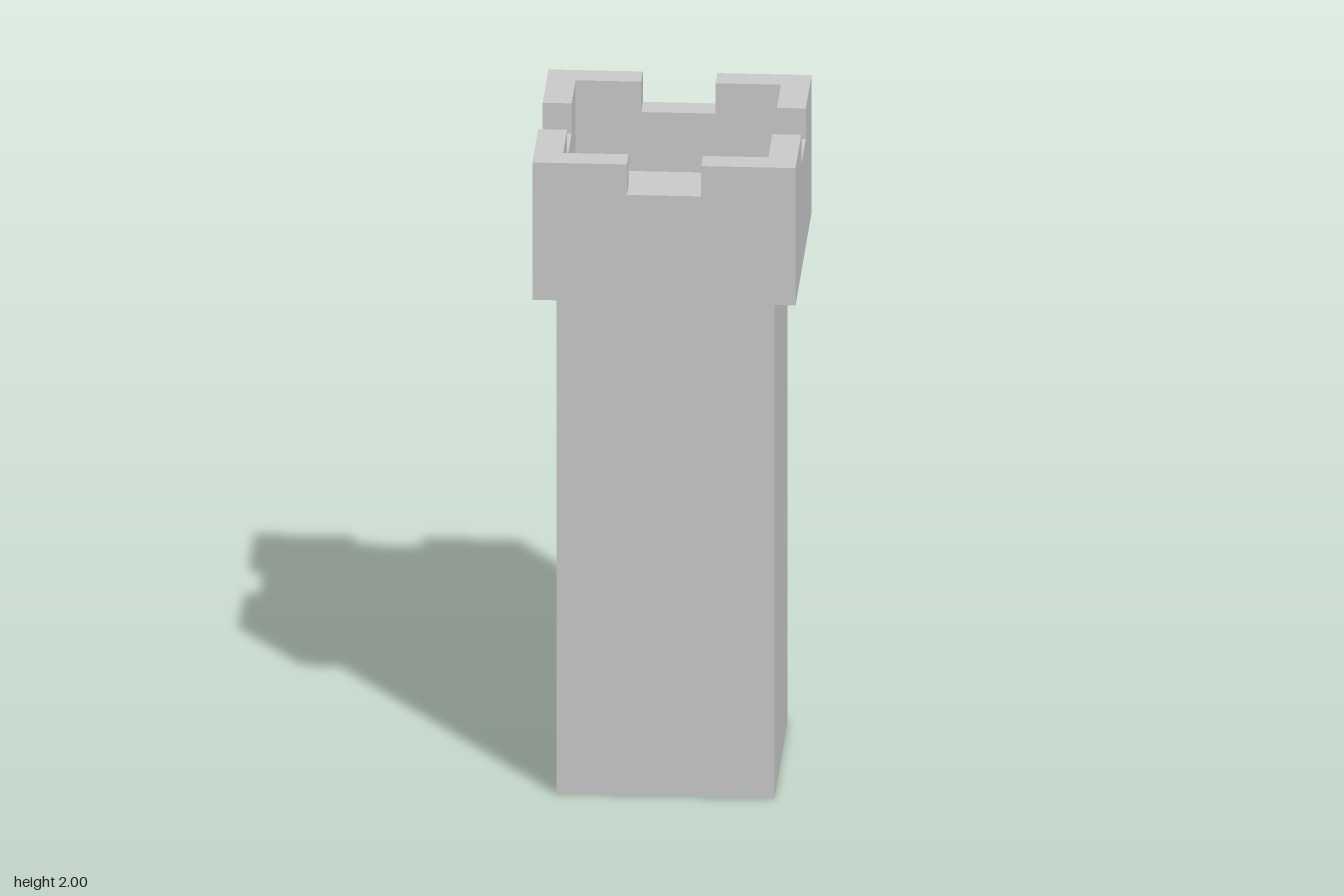
import * as THREE from 'three';
import { mergeGeometries } from 'three/addons/utils/BufferGeometryUtils.js';

const SHAFT = 0.32;                       // half widths
const OUTER = 0.386, INNER = 0.301, NOTCH = 0.109;
const HEAD_Y = 1.57, FLOOR_Y = 1.72, SILL_Y = 1.905, TOP_Y = 2;
const THICK = OUTER - INNER, MID = (OUTER + INNER) / 2;

const shapeOf = (pts) => new THREE.Shape(pts.map(([x, y]) => new THREE.Vector2(x, y)));
const squarePoints = (h) => [[-h, -h], [h, -h], [h, h], [-h, h]];

// Wall face with a notch in the middle of its top edge
function notchedFace(half, bottom) {
  return new THREE.ShapeGeometry(shapeOf([
    [-half, bottom], [half, bottom], [half, TOP_Y], [NOTCH, TOP_Y],
    [NOTCH, SILL_Y], [-NOTCH, SILL_Y], [-NOTCH, TOP_Y], [-half, TOP_Y],
  ]));
}

// One side of the parapet (facing +z) with the corner merlon top at its +x end
function parapetSide() {
  const parts = [
    notchedFace(OUTER, HEAD_Y).translate(0, 0, OUTER),
    notchedFace(INNER, FLOOR_Y).rotateY(Math.PI).translate(0, 0, INNER),
    new THREE.PlaneGeometry(2 * NOTCH, THICK).rotateX(-Math.PI / 2).translate(0, SILL_Y, MID),
  ];
  // Notch cheeks
  for (const s of [-1, 1]) {
    parts.push(new THREE.PlaneGeometry(THICK, TOP_Y - SILL_Y)
      .rotateY(-s * Math.PI / 2).translate(s * NOTCH, (TOP_Y + SILL_Y) / 2, MID));
  }
  // L-shaped merlon top
  parts.push(new THREE.ShapeGeometry(shapeOf([
    [NOTCH, -OUTER], [OUTER, -OUTER], [OUTER, -NOTCH],
    [INNER, -NOTCH], [INNER, -INNER], [NOTCH, -INNER],
  ])).rotateX(-Math.PI / 2).translate(0, TOP_Y, 0));
  return mergeGeometries(parts);
}

export function createModel() {
  const group = new THREE.Group();
  const material = new THREE.MeshStandardMaterial({ color: 0xcccccc, flatShading: true });
  const add = (name, geometry) => {
    const mesh = new THREE.Mesh(geometry, material);
    mesh.name = name;
    group.add(mesh);
    return mesh;
  };

  // Square shaft
  add('shaft', new THREE.BoxGeometry(2 * SHAFT, HEAD_Y, 2 * SHAFT).translate(0, HEAD_Y / 2, 0));

  // Overhang under the head
  const ring = shapeOf(squarePoints(OUTER));
  ring.holes.push(shapeOf(squarePoints(SHAFT)));
  add('overhang', new THREE.ShapeGeometry(ring).rotateX(Math.PI / 2).translate(0, HEAD_Y, 0));

  // Sunken platform floor
  add('platformFloor', new THREE.PlaneGeometry(2 * INNER, 2 * INNER)
    .rotateX(-Math.PI / 2).translate(0, FLOOR_Y, 0));

  // Four crenellated parapet sides
  const side = parapetSide();
  ['Front', 'Left', 'Back', 'Right'].forEach((where, i) => {
    add('parapet' + where, side).rotation.y = i * Math.PI / 2;
  });

  return group;
}
